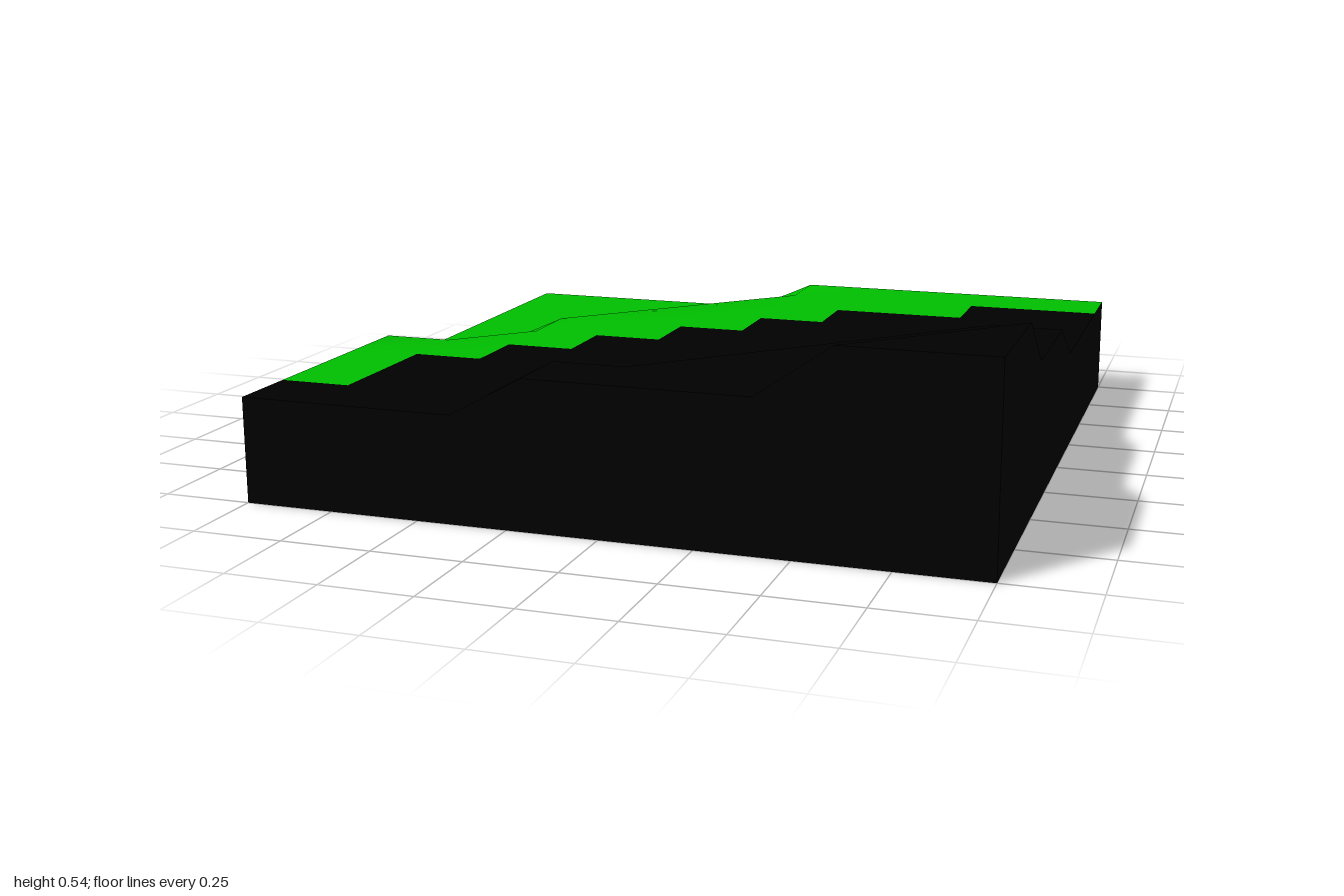
import * as THREE from 'three';

const N = 10;                 // cells per side
const CELL = 2 / N;
const NONE = N + 1;

// Terrace levels; each starts, row by row from the back, at the given column
const BASE_LEVEL = 0.2;
const TERRACES = [
  { height: 0.29, start: [5, 5, 4, 3, 2, 2, 0, 0, 0, 0, 0] },
  { height: 0.40, start: [NONE, NONE, NONE, NONE, NONE, 9, 8, 7, 6, 4, 4] },
  { height: 0.54, start: [NONE, NONE, NONE, NONE, NONE, NONE, NONE, NONE, 10, 9, 8] },
];

// Number of grass cells in each row, counted from the right-hand (-x) edge
const GRASS = [10, 8, 6, 5, 4, 3, 2, 1, 1, 0];

function heightAt(col, row) {
  let h = BASE_LEVEL;
  for (const t of TERRACES) if (col >= t.start[row]) h = t.height;
  return h;
}

// Whole terrain surface with smooth normals
function terrainSurface() {
  const geo = new THREE.PlaneGeometry(2, 2, N, N).rotateX(-Math.PI / 2);
  const pos = geo.attributes.position;
  for (let i = 0; i < pos.count; i++) {
    pos.setY(i, heightAt(i % (N + 1), Math.floor(i / (N + 1))));
  }
  geo.computeVertexNormals();
  return geo;
}

// Keep only the cells that pass the test
function pickCells(surface, test) {
  const geo = surface.clone();
  const all = Array.from(surface.index.array);
  const kept = [];
  for (let cell = 0; cell < N * N; cell++) {
    if (test(cell % N, Math.floor(cell / N))) kept.push(...all.slice(cell * 6, cell * 6 + 6));
  }
  geo.setIndex(kept);
  return geo;
}

// Vertical skirt from the ground up to the terrain edge
function skirt() {
  const rim = [];
  for (let i = 0; i < N; i++) rim.push([i, N]);
  for (let i = 0; i < N; i++) rim.push([N, N - i]);
  for (let i = 0; i < N; i++) rim.push([N - i, 0]);
  for (let i = 0; i < N; i++) rim.push([0, i]);
  const verts = [];
  const point = ([c, r], y) => [c * CELL - 1, y, r * CELL - 1];
  rim.forEach((p, i) => {
    const q = rim[(i + 1) % rim.length];
    const p0 = point(p, 0), p1 = point(p, heightAt(...p));
    const q0 = point(q, 0), q1 = point(q, heightAt(...q));
    verts.push(...p0, ...q0, ...q1, ...p0, ...q1, ...p1);
  });
  const geo = new THREE.BufferGeometry();
  geo.setAttribute('position', new THREE.Float32BufferAttribute(verts, 3));
  geo.computeVertexNormals();
  return geo;
}

export function createModel() {
  const group = new THREE.Group();
  group.name = 'terrainTile';
  const grass = new THREE.MeshStandardMaterial({ color: 0x00c000 });
  const rock = new THREE.MeshStandardMaterial({ color: 0x000000 });

  const add = (name, geo, mat) => {
    const mesh = new THREE.Mesh(geo, mat);
    mesh.name = name;
    group.add(mesh);
  };

  // Ground cover
  const surface = terrainSurface();
  add('grassGround', pickCells(surface, (c, r) => c < GRASS[r]), grass);
  add('darkGround', pickCells(surface, (c, r) => c >= GRASS[r]), rock);

  // Sides and underside
  add('sideWalls', skirt(), rock);
  add('underside', new THREE.PlaneGeometry(2, 2).rotateX(Math.PI / 2), rock);
  return group;
}
